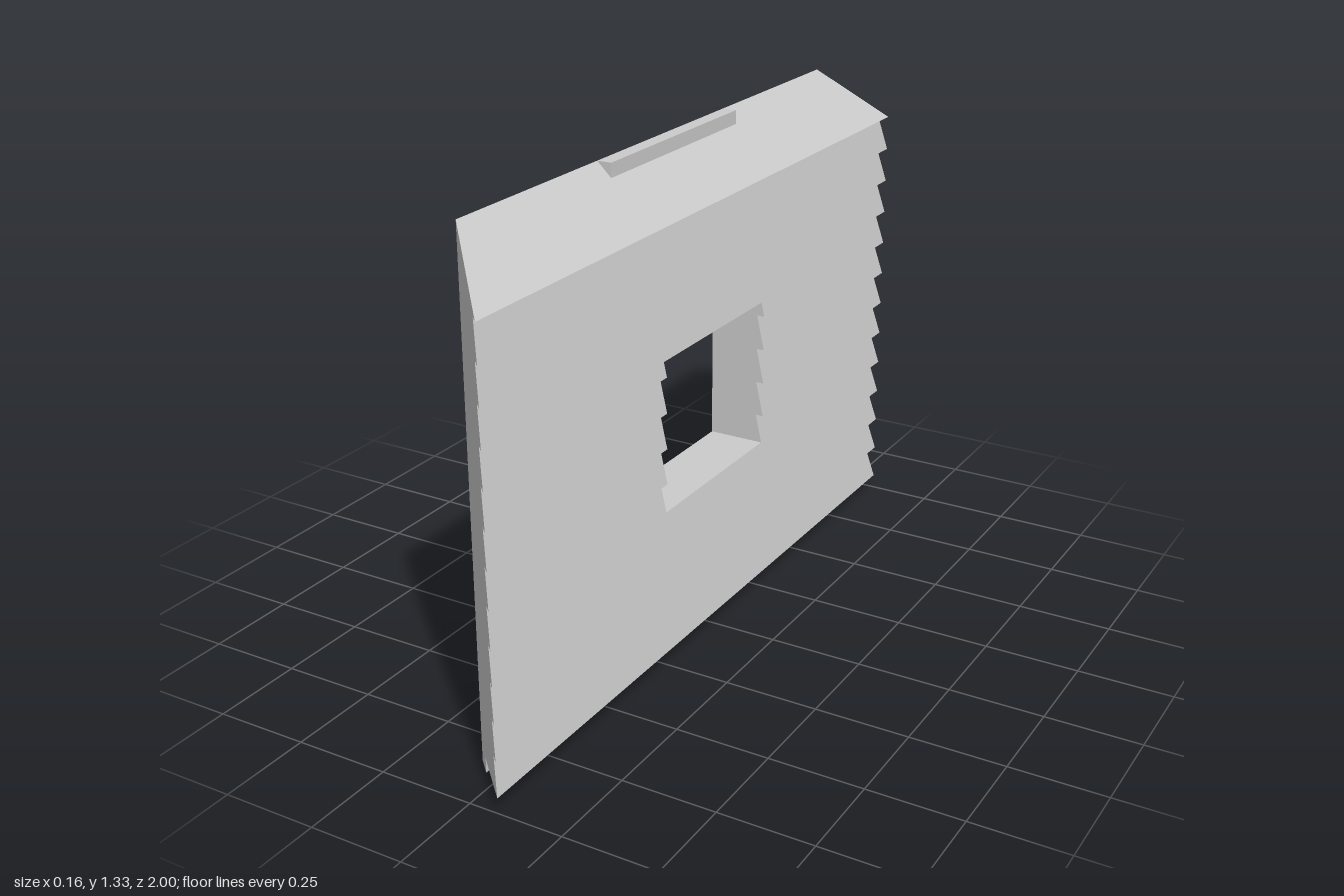
import * as THREE from 'three';

const BACK = -0.078, FRONT = 0.078, RECESS = 0.057, LIP = -0.04;
const BASE = 0.04, EAVE = 1.175, TOP = 1.325, BOARDS = 12;
const WIN = { y0: 0.435, y1: 0.835, z: 0.25 };

// mitred ends: the wall gets longer towards its outer face
const end = (x) => 1 - (FRONT - x);

// collects triangles for one flat-faced mesh
class Faces {
  constructor() { this.pos = []; }
  tri(a, b, c) { this.pos.push(...a, ...b, ...c); }
  quad(a, b, c, d) { this.tri(a, b, c); this.tri(a, c, d); }
  // strip over profile edge a-b, between z given as functions of x
  strip(a, b, lo, hi) {
    this.quad([a.x, a.y, lo(a.x)], [b.x, b.y, lo(b.x)], [b.x, b.y, hi(b.x)], [a.x, a.y, hi(a.x)]);
  }
  // filled counter-clockwise profile, facing +z or -z
  cap(points, z, facing) {
    for (const f of THREE.ShapeUtils.triangulateShape(points, [])) {
      const [a, b, c] = f.map((i) => [points[i].x, points[i].y, z(points[i].x)]);
      if (facing > 0) this.tri(a, b, c); else this.tri(a, c, b);
    }
  }
  mesh(name, material) {
    const g = new THREE.BufferGeometry();
    g.setAttribute('position', new THREE.Float32BufferAttribute(this.pos, 3));
    g.computeVertexNormals();
    const m = new THREE.Mesh(g, material);
    m.name = name;
    return m;
  }
}

// cross-section: back rabbet, lapped boards, sloped top, flat back
function wallProfile() {
  const p = [[BACK, 0], [LIP, 0], [LIP, BASE]];
  const step = (EAVE - BASE) / BOARDS;
  for (let i = 0; i < BOARDS; i++) {
    const y = BASE + i * step;
    p.push([FRONT, y]);
    // extra points where the window's sill and head cross a board
    for (const w of [WIN.y0, WIN.y1]) {
      if (w > y && w < y + step) p.push([FRONT + (RECESS - FRONT) * (w - y) / step, w]);
    }
    p.push([RECESS, y + step]);
  }
  p.push([FRONT, EAVE], [BACK, TOP], [BACK, WIN.y1], [BACK, WIN.y0]);
  return p.map(([x, y]) => new THREE.Vector2(x, y));
}

export function createModel() {
  const group = new THREE.Group();
  group.name = 'sidingWall';
  const material = new THREE.MeshStandardMaterial({ color: 0xcccccc, flatShading: true });
  const profile = wallProfile();
  const inWindow = (p) => p.y >= WIN.y0 && p.y <= WIN.y1;
  const near = () => WIN.z, far = () => -WIN.z, minusEnd = (x) => -end(x);

  // wall skin, split on both sides of the window
  const wall = new Faces();
  profile.forEach((a, i) => {
    const b = profile[(i + 1) % profile.length];
    if (inWindow(a) && inWindow(b)) {
      wall.strip(a, b, minusEnd, far);
      wall.strip(a, b, near, end);
    } else wall.strip(a, b, minusEnd, end);
  });
  wall.cap(profile, end, 1);
  wall.cap(profile, minusEnd, -1);
  group.add(wall.mesh('clapboardWall', material));

  // window opening: jambs, sill and head
  const cut = profile.filter(inWindow);
  const lining = new Faces();
  lining.cap(cut, near, -1);
  lining.cap(cut, far, 1);
  const n = cut.length;
  lining.strip(cut[0], cut[n - 1], far, near);
  lining.strip(cut[n - 2], cut[n - 3], far, near);
  group.add(lining.mesh('windowLining', material));

  // small wedge-shaped tab on the sloped top
  const slopeY = TOP - (TOP - EAVE) * (LIP - BACK) / (FRONT - BACK);
  const tabShape = new THREE.Shape([
    new THREE.Vector2(BACK, TOP), new THREE.Vector2(LIP, slopeY), new THREE.Vector2(LIP, TOP),
  ]);
  const tab = new THREE.Mesh(
    new THREE.ExtrudeGeometry(tabShape, { depth: 0.6, bevelEnabled: false }).translate(0, 0, -0.3), material);
  tab.name = 'topTab';
  group.add(tab);
  return group;
}
